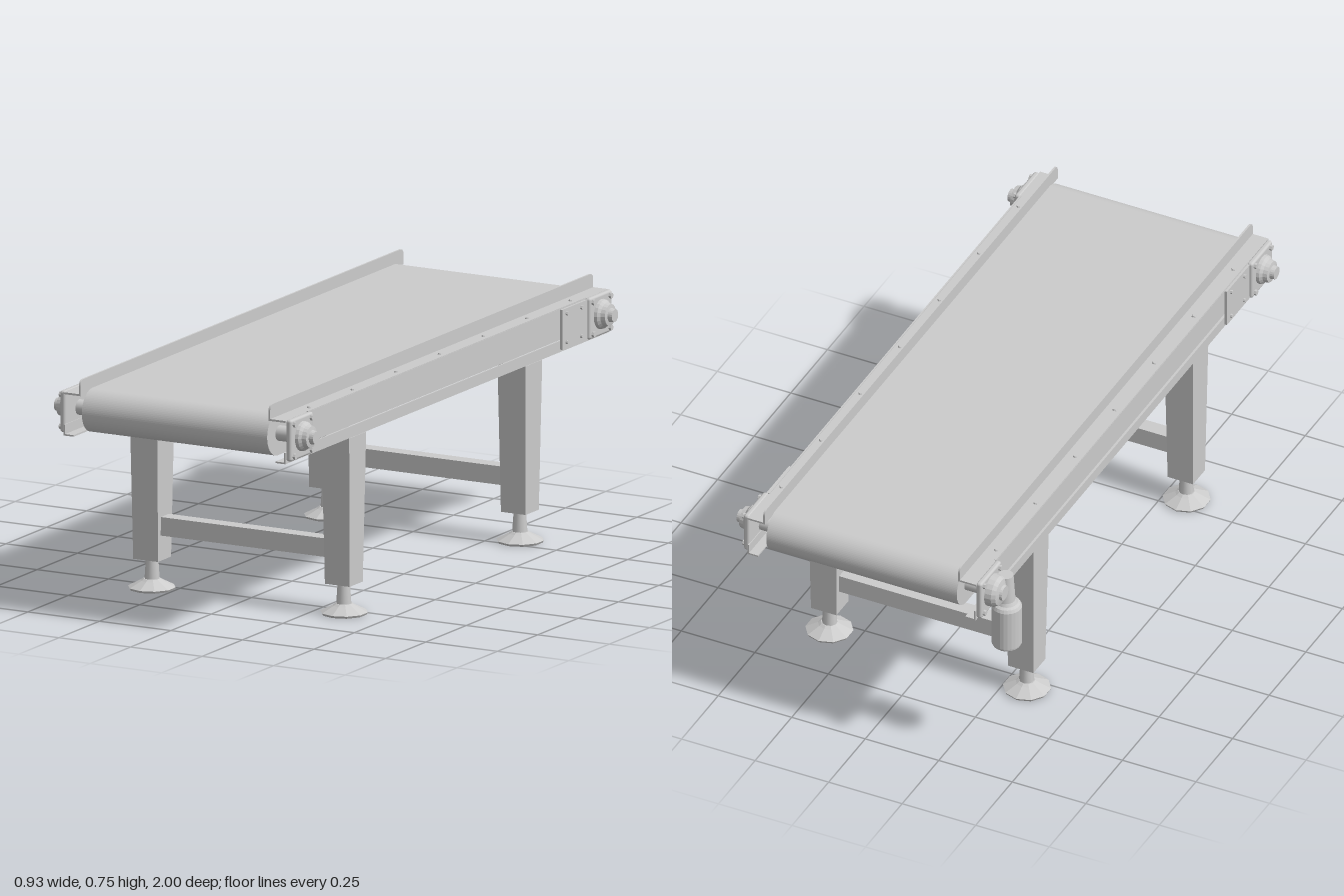
import * as THREE from 'three';
import { RoundedBoxGeometry } from 'three/addons/geometries/RoundedBoxGeometry.js';

const CX = 0.0125;   // centre line of the frame (the motor makes the outline lopsided)
const AXLE_Y = 0.643, AXLE_Z = 0.925;

export function createModel() {
  const root = new THREE.Group();
  root.name = 'beltConveyor';
  const smooth = new THREE.MeshStandardMaterial({ color: 0xcccccc });
  const faceted = new THREE.MeshStandardMaterial({ color: 0xcccccc, flatShading: true });

  const add = (name, geo, x, y, z, parent = root, mat = smooth) => {
    const m = new THREE.Mesh(geo, mat);
    m.name = name;
    m.position.set(x, y, z);
    parent.add(m);
    return m;
  };
  const box = (name, w, h, d, x, y, z, parent) =>
    add(name, new THREE.BoxGeometry(w, h, d), x, y, z, parent);
  // lathe turned so that its axis runs outward along x on side s
  const turned = (name, pts, s, x, y, z, parent) => {
    const g = new THREE.LatheGeometry(pts.map(p => new THREE.Vector2(...p)), 20);
    g.rotateZ(-s * Math.PI / 2);
    return add(name, g, x, y, z, parent, faceted);
  };
  const group = (name) => {
    const g = new THREE.Group();
    g.name = name;
    root.add(g);
    return g;
  };

  // belt: one closed loop around the two end rollers
  const r = 0.068, zc = 0.932;
  const loop = new THREE.Shape();
  loop.absarc(zc, 0, r, -Math.PI / 2, Math.PI / 2, false);
  loop.absarc(-zc, 0, r, Math.PI / 2, Math.PI * 1.5, false);
  loop.closePath();
  const beltGeo = new THREE.ExtrudeGeometry(loop, { depth: 0.648, bevelEnabled: false, curveSegments: 20 });
  beltGeo.translate(0, 0, -0.324).rotateY(-Math.PI / 2);
  add('belt', beltGeo, CX, AXLE_Y, 0);

  // roller shafts
  for (const e of [1, -1]) {
    const g = new THREE.CylinderGeometry(0.024, 0.024, 0.75, 20).rotateZ(Math.PI / 2);
    add('rollerShaft', g, CX, AXLE_Y, e * AXLE_Z);
  }

  // lip with rounded upper corners
  const lip = new THREE.Shape();
  lip.moveTo(-1, 0);
  lip.lineTo(1, 0);
  lip.lineTo(1, 0.03);
  lip.quadraticCurveTo(1, 0.05, 0.98, 0.05);
  lip.lineTo(-0.98, 0.05);
  lip.quadraticCurveTo(-1, 0.05, -1, 0.03);
  lip.closePath();
  const lipGeo = new THREE.ExtrudeGeometry(lip, { depth: 0.006, bevelEnabled: false });
  lipGeo.translate(0, 0, -0.003).rotateY(-Math.PI / 2);

  for (const s of [1, -1]) {
    const X = (d) => CX + s * d;

    // side rail in folded sheet, with a separate angle below it
    const rail = group(s > 0 ? 'leftRail' : 'rightRail');
    box('web', 0.005, 0.09, 1.72, X(0.385), 0.66, 0, rail);
    box('topFlange', 0.06, 0.006, 2, X(0.3585), 0.7, 0, rail);
    add('guideLip', lipGeo, X(0.3315), 0.697, 0, rail);
    box('lowerAngleWall', 0.005, 0.035, 2, X(0.385), 0.585, 0, rail);
    box('lowerAngleFlange', 0.035, 0.005, 2, X(0.37), 0.57, 0, rail);
    for (let i = -3; i <= 3; i++) {
      const bolt = new THREE.CylinderGeometry(0.007, 0.009, 0.005, 8);
      add('flangeBolt', bolt, X(0.365), 0.705, i * 0.27, rail, faceted);
    }

    // bearing at each end of the rail
    for (const e of [1, -1]) {
      const b = group('bearing');
      const z = e * AXLE_Z;
      add('bearingPlate', new RoundedBoxGeometry(0.02, 0.13, 0.14, 2, 0.008), X(0.395), 0.64, z, b);
      for (const u of [1, -1]) for (const v of [1, -1]) {
        const bolt = new THREE.CylinderGeometry(0.009, 0.009, 0.01, 6).rotateZ(Math.PI / 2);
        add('plateBolt', bolt, X(0.408), 0.64 + u * 0.05, z + v * 0.053, b, faceted);
      }
      const motorSide = s < 0 && e < 0;
      if (!motorSide) {
        turned('bearingHub', [[0, 0], [0.047, 0], [0.045, 0.012], [0.037, 0.02], [0.034, 0.034],
          [0.022, 0.036], [0.02, 0.05], [0, 0.05]], s, X(0.403), AXLE_Y, z, b);
      }
      // tensioner cover sheet, on diagonally opposite corners
      if (s * e < 0) {
        box('coverSheet', 0.008, 0.125, 0.16, X(0.392), 0.638, e * 0.78, b);
        for (const u of [1, -1]) for (const v of [1, -1]) {
          const bolt = new THREE.CylinderGeometry(0.006, 0.006, 0.008, 6).rotateZ(Math.PI / 2);
          add('coverBolt', bolt, X(0.399), 0.64 + u * 0.045, e * 0.77 + v * 0.045, b, faceted);
        }
      }
    }

    // tapered legs with adjustable feet
    for (const e of [1, -1]) {
      const z = e * 0.545;
      const leg = group('leg');
      const g = new THREE.BoxGeometry(0.097, 0.467, 0.105);
      const p = g.attributes.position;
      for (let i = 0; i < p.count; i++) {
        if (p.getY(i) < 0) p.setXYZ(i, p.getX(i) * 0.89, p.getY(i), p.getZ(i) * 0.78);
      }
      g.computeVertexNormals();
      add('legPost', g, X(0.335), 0.331, z, leg);
      add('footSpindle', new THREE.CylinderGeometry(0.019, 0.024, 0.075, 10), X(0.335), 0.065, z, leg);
      const foot = new THREE.LatheGeometry([[0, 0], [0.07, 0], [0.074, 0.007], [0.035, 0.027],
        [0.026, 0.033], [0, 0.033]].map(q => new THREE.Vector2(...q)), 10);
      add('foot', foot, X(0.336), 0.001, z, leg, faceted);
    }
  }

  // cross bars joining each pair of legs
  for (const e of [1, -1]) box('crossBar', 0.595, 0.058, 0.05, CX, 0.206, e * 0.545);

  // gear motor hanging at the rear right corner
  const drive = group('driveUnit');
  turned('gearbox', [[0, 0], [0.052, 0], [0.05, 0.022], [0.043, 0.034], [0.025, 0.038],
    [0.023, 0.046], [0, 0.046]], -1, -0.392, AXLE_Y, -AXLE_Z, drive);
  add('wormHousing', new THREE.CylinderGeometry(0.024, 0.03, 0.09, 16), -0.418, 0.632, -0.88, drive);
  add('motorNeck', new THREE.CylinderGeometry(0.022, 0.036, 0.03, 16), -0.42, 0.585, -0.877, drive);
  const motor = new THREE.LatheGeometry([[0, 0], [0.036, 0], [0.043, 0.006], [0.044, 0.012], [0.047, 0.014],
    [0.047, 0.148], [0.042, 0.158], [0.034, 0.163], [0, 0.163]].map(q => new THREE.Vector2(...q)), 24);
  add('motor', motor, -0.42, 0.412, -0.877, drive, faceted);

  return root;
}
